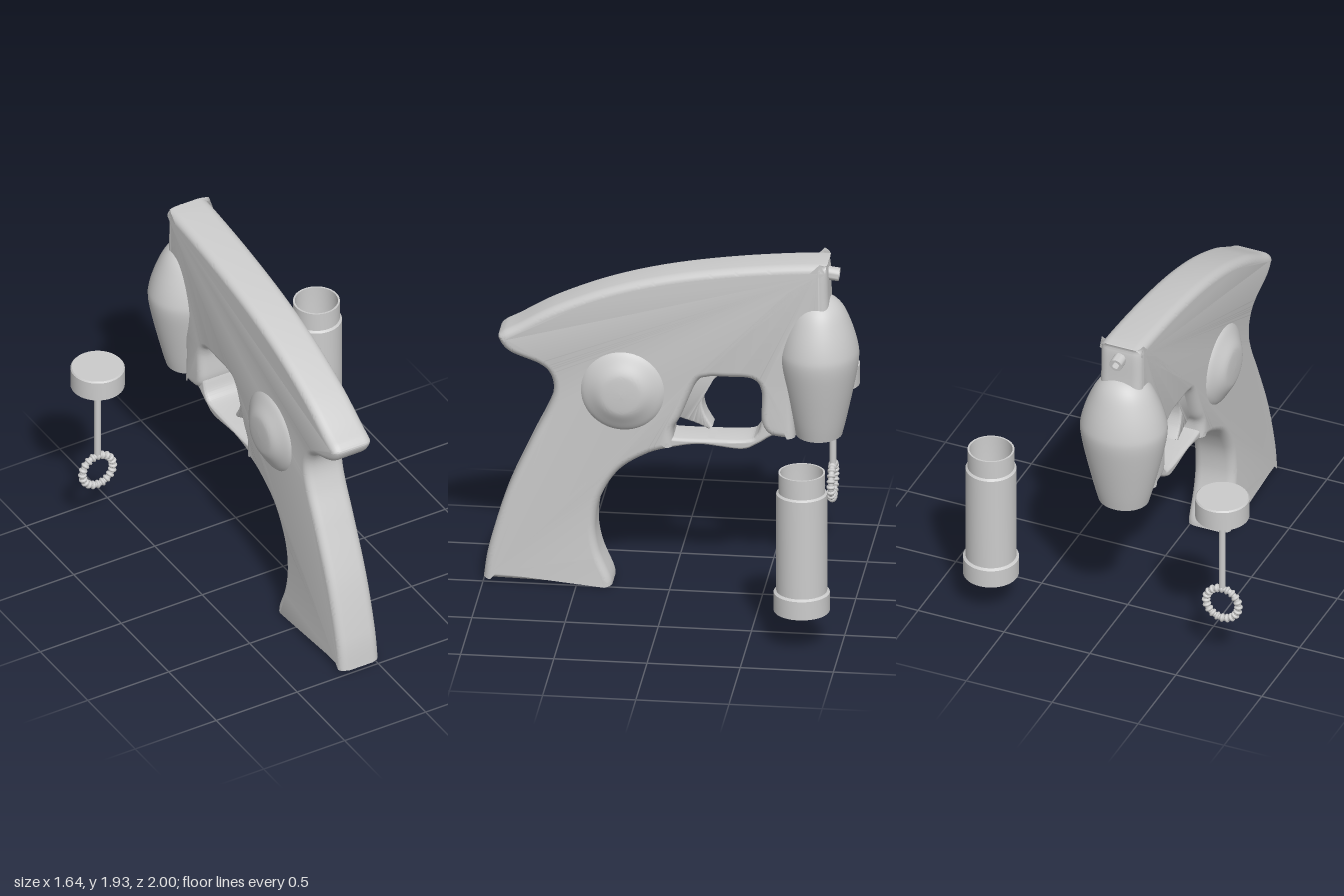
import * as THREE from 'three';
import { toCreasedNormals } from 'three/addons/utils/BufferGeometryUtils.js';

const GUN_X = -0.105; // mid plane of the gun
const material = new THREE.MeshStandardMaterial({ color: 0xcccccc, side: THREE.DoubleSide });

function mesh(name, geometry, x = 0, y = 0, z = 0) {
  const m = new THREE.Mesh(geometry, material);
  m.name = name;
  m.position.set(x, y, z);
  return m;
}

// Closed outline from smooth runs of [z, y] points, with corners where runs meet
function outline(runs) {
  const shape = new THREE.Shape();
  shape.moveTo(...runs[0][0]);
  runs.forEach((run, i) => {
    const pts = run.map((p) => new THREE.Vector2(...p));
    if (i > 0) shape.lineTo(pts[0].x, pts[0].y);
    if (pts.length > 2) shape.splineThru(pts.slice(1));
    else if (pts.length === 2) shape.lineTo(pts[1].x, pts[1].y);
  });
  shape.closePath();
  return shape;
}

// Side profile extruded across x, with rounded edges kept inside the outline
function slab(runs, halfWidth, size, thickness) {
  const depth = 2 * (halfWidth - thickness);
  const g = new THREE.ExtrudeGeometry(outline(runs), {
    depth, curveSegments: 28, bevelEnabled: true, bevelSize: size,
    bevelOffset: -size, bevelThickness: thickness, bevelSegments: 6,
  });
  g.translate(0, 0, -depth / 2);
  g.rotateY(-Math.PI / 2);
  return toCreasedNormals(g, 0.7);
}

function lathe(points, segments = 48) {
  const g = new THREE.LatheGeometry(points.map((p) => new THREE.Vector2(...p)), segments);
  return toCreasedNormals(g, 0.6);
}

// Smoothed lathe profile
function smooth(points, n) {
  return new THREE.SplineCurve(points.map((p) => new THREE.Vector2(...p)))
    .getPoints(n).map((p) => [Math.max(p.x, 0), p.y]);
}

function createGun() {
  const gun = new THREE.Group();
  gun.name = 'bubbleGun';
  gun.position.x = GUN_X;

  // Grip, barrel and trigger opening in one profile
  gun.add(mesh('body', slab([
    [[1.0, 0.015], [0.97, 0.2], [0.88, 0.5], [0.75, 0.8], [0.66, 0.99], [0.625, 1.11],
      [0.64, 1.2], [0.7, 1.26], [0.86, 1.325], [0.92, 1.4], [0.9, 1.44], [0.82, 1.485],
      [0.62, 1.6], [0.33, 1.72], [0, 1.81], [-0.4, 1.875], [-0.8, 1.91], [-0.84, 1.88],
      [-0.85, 1.7], [-0.86, 1.5]],
    [[-0.86, 1.25], [-0.68, 1.2], [-0.67, 0.9]],
    [[-0.62, 0.9], [-0.55, 0.91], [-0.51, 0.94], [-0.49, 1.0], [-0.49, 1.16], [-0.44, 1.23],
      [-0.3, 1.235], [-0.2, 1.23], [-0.14, 1.19], [-0.06, 1.0], [-0.02, 0.92], [-0.02, 0.82]],
    [[0, 0.81], [0.12, 0.77], [0.27, 0.67], [0.37, 0.51], [0.4, 0.35], [0.38, 0.2],
      [0.32, 0.05], [0.31, 0.0]],
  ], 0.12, 0.04, 0.05)));

  gun.add(mesh('triggerGuard', slab([
    [[0.08, 0.79], [0, 0.81], [-0.16, 0.837], [-0.38, 0.82], [-0.47, 0.855], [-0.56, 0.91],
      [-0.64, 0.9]],
    [[-0.64, 1.02], [-0.5, 1.02]],
    [[-0.49, 0.98], [-0.465, 0.91], [-0.41, 0.878], [-0.2, 0.87], [0, 0.872], [0.08, 0.9]],
  ], 0.1, 0.016, 0.03)));

  gun.add(mesh('trigger', slab([
    [[-0.1, 1.25], [-0.25, 1.24]],
    [[-0.25, 1.22], [-0.19, 1.15], [-0.17, 1.07], [-0.185, 1.0], [-0.225, 0.93]],
    [[-0.205, 0.915], [-0.14, 0.945], [-0.03, 0.98]],
  ], 0.06, 0.01, 0.015)));

  // Swollen socket at the rear, open underneath for the bottle neck
  const socket = lathe([
    [0, 1.05], [0.115, 1.05], [0.115, 0.9], [0.138, 0.9],
    ...smooth([[0.138, 0.9], [0.165, 1.0], [0.212, 1.2], [0.237, 1.34], [0.23, 1.42],
      [0.195, 1.53], [0.145, 1.63], [0.08, 1.685], [0, 1.7]], 36),
  ]);
  socket.scale(1, 1, 0.9);
  gun.add(mesh('bottleSocket', socket, 0, 0, -0.79));

  // Domed housings on both flanks
  for (const side of [-1, 1]) {
    const dome = lathe(smooth([[0.24, 0.1], [0.215, 0.128], [0.17, 0.155], [0.12, 0.182],
      [0.08, 0.19], [0, 0.194]], 24));
    dome.rotateZ(-side * Math.PI / 2);
    gun.add(mesh(side > 0 ? 'leftDome' : 'rightDome', dome, 0, 1.14, 0.25));
  }

  const nozzle = mesh('nozzle', lathe([[0, 0.03], [0.022, 0.03], [0.022, 0.075], [0.037, 0.075],
    [0.037, 0]], 24), 0, 1.832, -0.825);
  nozzle.rotation.x = -Math.PI / 2 - 0.12;
  gun.add(nozzle);
  return gun;
}

function createWand() {
  const wand = new THREE.Group();
  wand.name = 'bubbleWand';
  wand.position.set(-0.68, 0, -0.795);
  // Hollow cap, stem and beaded ring
  wand.add(mesh('cap', lathe([[0, 1.05], [0.132, 1.05], [0.132, 0.95], [0.145, 0.95],
    [0.145, 1.062], [0.138, 1.07], [0, 1.07]])));
  wand.add(mesh('stem', new THREE.CylinderGeometry(0.018, 0.018, 0.58, 20), 0, 0.77, 0));
  wand.add(mesh('ring', new THREE.TorusGeometry(0.094, 0.016, 12, 60), 0, 0.38, 0));
  const count = 20;
  for (let i = 0; i < count; i++) {
    const a = (i / count) * Math.PI * 2;
    const bead = mesh('ringBead', new THREE.SphereGeometry(0.024, 14, 10),
      0.094 * Math.cos(a), 0.38 + 0.094 * Math.sin(a), 0);
    bead.scale.y = 0.55;
    bead.rotation.z = a;
    wand.add(bead);
  }
  return wand;
}

export function createModel() {
  const model = new THREE.Group();
  model.name = 'bubbleToySet';
  model.add(createGun(), createWand());
  // Open bottle with a wide foot and a stepped neck
  model.add(mesh('bottle', lathe([[0, 0.205], [0.135, 0.2], [0.15, 0.205], [0.15, 0.31],
    [0.136, 0.32], [0.136, 0.88], [0.125, 0.89], [0.125, 1.0], [0.115, 1.0], [0.115, 0.3],
    [0.09, 0.25], [0, 0.23]]), 0.668, 0, -0.79));
  return model;
}
